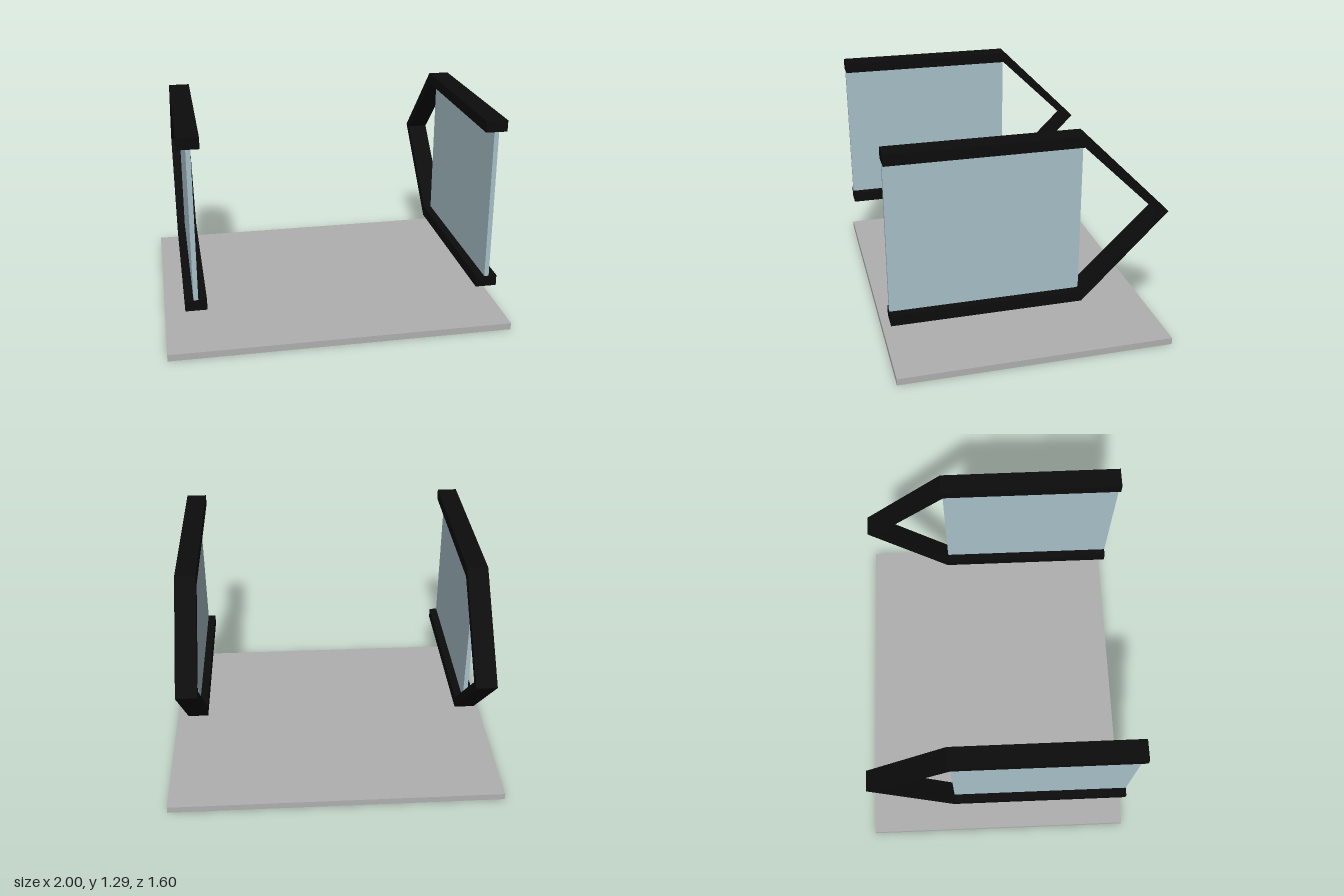
import * as THREE from 'three';

const material = (name, color) => {
  const m = new THREE.MeshStandardMaterial({ color });
  m.name = name;
  return m;
};

export function createModel() {
  const model = new THREE.Group();
  model.name = 'railingModel';
  const grey = material('floorGrey', 0xb0b0b0);
  const black = material('frameBlack', 0x0c0c0c);
  const glass = material('paleBlueGlass', 0xa8c0c8);

  const add = (parent, name, geometry, mat, x, y, z) => {
    const mesh = new THREE.Mesh(geometry, mat);
    mesh.name = name;
    mesh.position.set(x, y, z);
    parent.add(mesh);
  };

  // Floor slab
  add(model, 'floorSlab', new THREE.BoxGeometry(2, 0.04, 1.6), grey, 0, 0.02, 0);

  // Pointed handrail frame, open at the front: outline as (z, y)
  const outline = [
    [0.8, 0.303], [-0.275, 0.303], [-0.765, 0.8], [-0.275, 1.288], [0.8, 1.291],
    [0.8, 1.228], [-0.262, 1.226], [-0.702, 0.8], [-0.262, 0.366], [0.8, 0.366],
  ];
  const shape = new THREE.Shape(outline.map(([z, y]) => new THREE.Vector2(z, y)));
  const width = 0.12;
  const frame = new THREE.ExtrudeGeometry(shape, { depth: width, bevelEnabled: false });
  frame.translate(0, 0, -width / 2).rotateY(-Math.PI / 2);

  // Glass infill between the rails
  const panel = new THREE.BoxGeometry(0.026, 0.864, 1.068);

  for (const [side, sign] of [['left', 1], ['right', -1]]) {
    const railing = new THREE.Group();
    railing.name = side + 'Railing';
    railing.position.x = sign * 0.826;
    add(railing, side + 'HandrailFrame', frame, black, 0, 0, 0);
    add(railing, side + 'GlassPanel', panel, glass, 0, 0.797, 0.266);
    model.add(railing);
  }
  return model;
}
